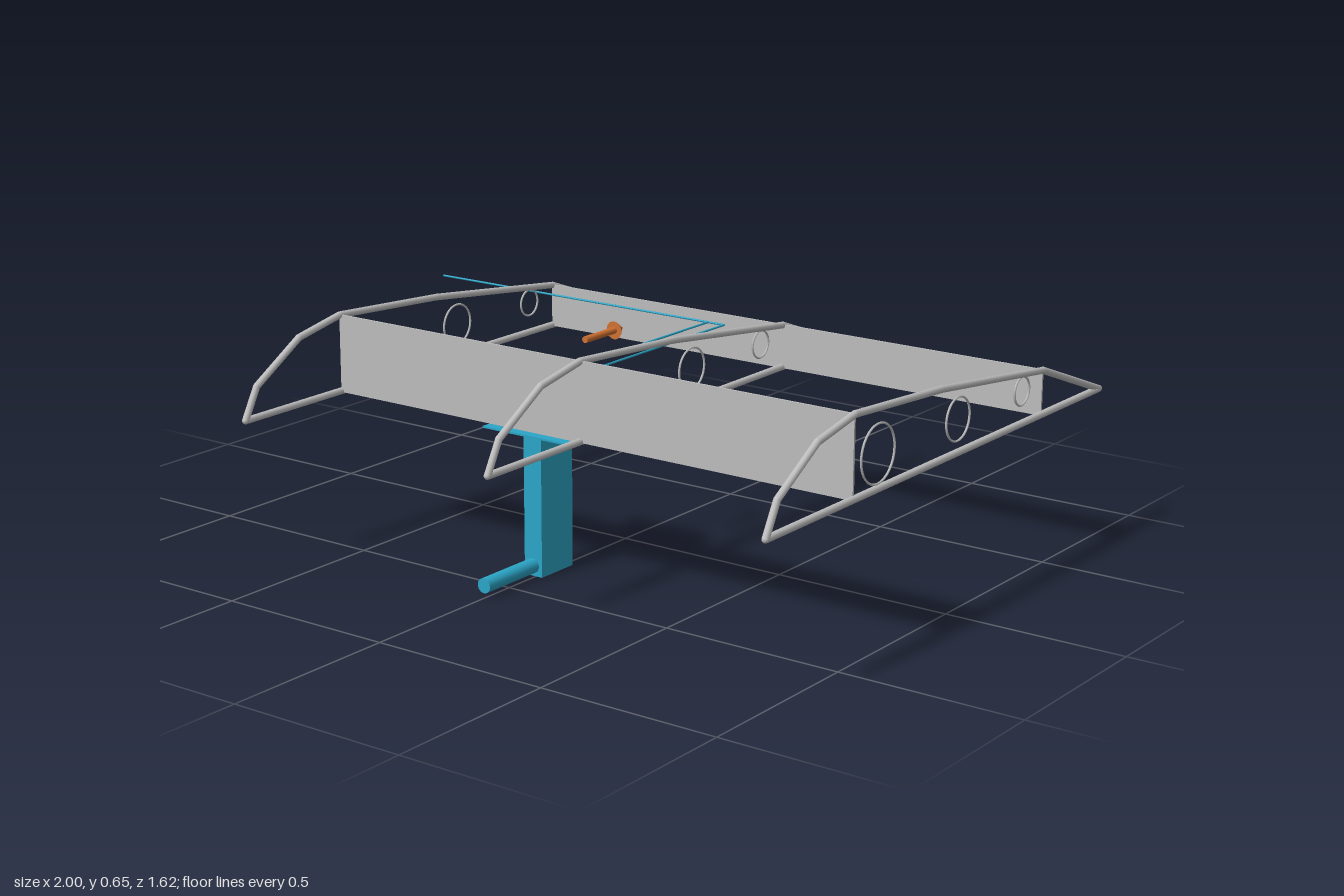
import * as THREE from 'three';

const mat = (name, color) => {
  const m = new THREE.MeshStandardMaterial({ color });
  m.name = name;
  return m;
};

export function createModel() {
  const model = new THREE.Group();
  model.name = 'wingSection';
  const gray = mat('frame gray', 0xbcbcbc);
  const blue = mat('probe blue', 0x2ba5c7);
  const orange = mat('arrow orange', 0xd07030);

  const add = (parent, name, geo, material, x = 0, y = 0, z = 0) => {
    const mesh = new THREE.Mesh(geo, material);
    mesh.name = name;
    mesh.position.set(x, y, z);
    parent.add(mesh);
    return mesh;
  };

  // Round bars through a list of points, with ball joints at the corners
  const bars = (parent, name, points, radius, material) => {
    const group = new THREE.Group();
    group.name = name;
    const up = new THREE.Vector3(0, 1, 0);
    const pts = points.map((p) => new THREE.Vector3(...p));
    pts.forEach((p, i) => {
      add(group, name + 'Joint', new THREE.SphereGeometry(radius, 10, 8), material, p.x, p.y, p.z);
      if (i === 0) return;
      const d = p.clone().sub(pts[i - 1]);
      const c = p.clone().add(pts[i - 1]).multiplyScalar(0.5);
      const bar = add(group, name + 'Bar', new THREE.CylinderGeometry(radius, radius, d.length(), 10),
        material, c.x, c.y, c.z);
      bar.quaternion.setFromUnitVectors(up, d.normalize());
    });
    parent.add(group);
  };

  // Three wing ribs: outline (z, y) and lightening rings (z, radius)
  const outline = [[0.8, 0.408], [0.755, 0.49], [0.592, 0.587], [0.433, 0.617],
    [0.04, 0.59], [-0.48, 0.527], [-0.8, 0.408], [0.8, 0.408]];
  const rings = [[0.326, 0.075], [-0.048, 0.057], [-0.371, 0.038]];
  for (const x of [-0.625, 0.182, 0.989]) {
    const rib = new THREE.Group();
    rib.name = 'rib';
    rib.position.x = x;
    bars(rib, 'ribOutline', outline.map(([z, y]) => [0, y, z]), 0.0095, gray);
    for (const [z, r] of rings) {
      add(rib, 'ribRing', new THREE.TorusGeometry(r, 0.003, 6, 32), gray, 0, 0.495, z).rotation.y = Math.PI / 2;
    }
    model.add(rib);
  }

  // Front and rear spars (z, top)
  for (const [name, z, top] of [['frontSpar', 0.432, 0.618], ['rearSpar', -0.481, 0.529]]) {
    add(model, name, new THREE.BoxGeometry(1.614, top - 0.405, 0.006), gray, 0.182, (top + 0.405) / 2, z);
  }

  // Mounting plate, mast and forward tube
  add(model, 'mountPlate', new THREE.BoxGeometry(0.27, 0.005, 0.265), blue, -0.007, 0.389, 0.294);
  add(model, 'mast', new THREE.BoxGeometry(0.057, 0.378, 0.13), blue, -0.008, 0.189, 0.325);
  add(model, 'forwardTube', new THREE.CylinderGeometry(0.02, 0.02, 0.2, 24), blue, -0.008, 0.029, 0.492)
    .rotation.x = Math.PI / 2;

  // Two pressure lines running aft, then out past the right rib
  for (const x of [-0.034, 0.02]) {
    bars(model, 'pressureLine', [[x, 0.41, 0.32], [x, 0.513, 0.22], [x, 0.513, -0.43], [-0.997, 0.513, -0.43]],
      0.003, blue);
  }

  // Direction arrow pointing aft
  const arrow = new THREE.Group();
  arrow.name = 'arrow';
  arrow.position.set(0.073, 0.622, 0);
  add(arrow, 'arrowShaft', new THREE.CylinderGeometry(0.009, 0.009, 0.125, 16), orange, 0, 0, 0.209)
    .rotation.x = Math.PI / 2;
  add(arrow, 'arrowHead', new THREE.ConeGeometry(0.024, 0.037, 20), orange, 0, 0, 0.129)
    .rotation.x = -Math.PI / 2;
  model.add(arrow);

  return model;
}
